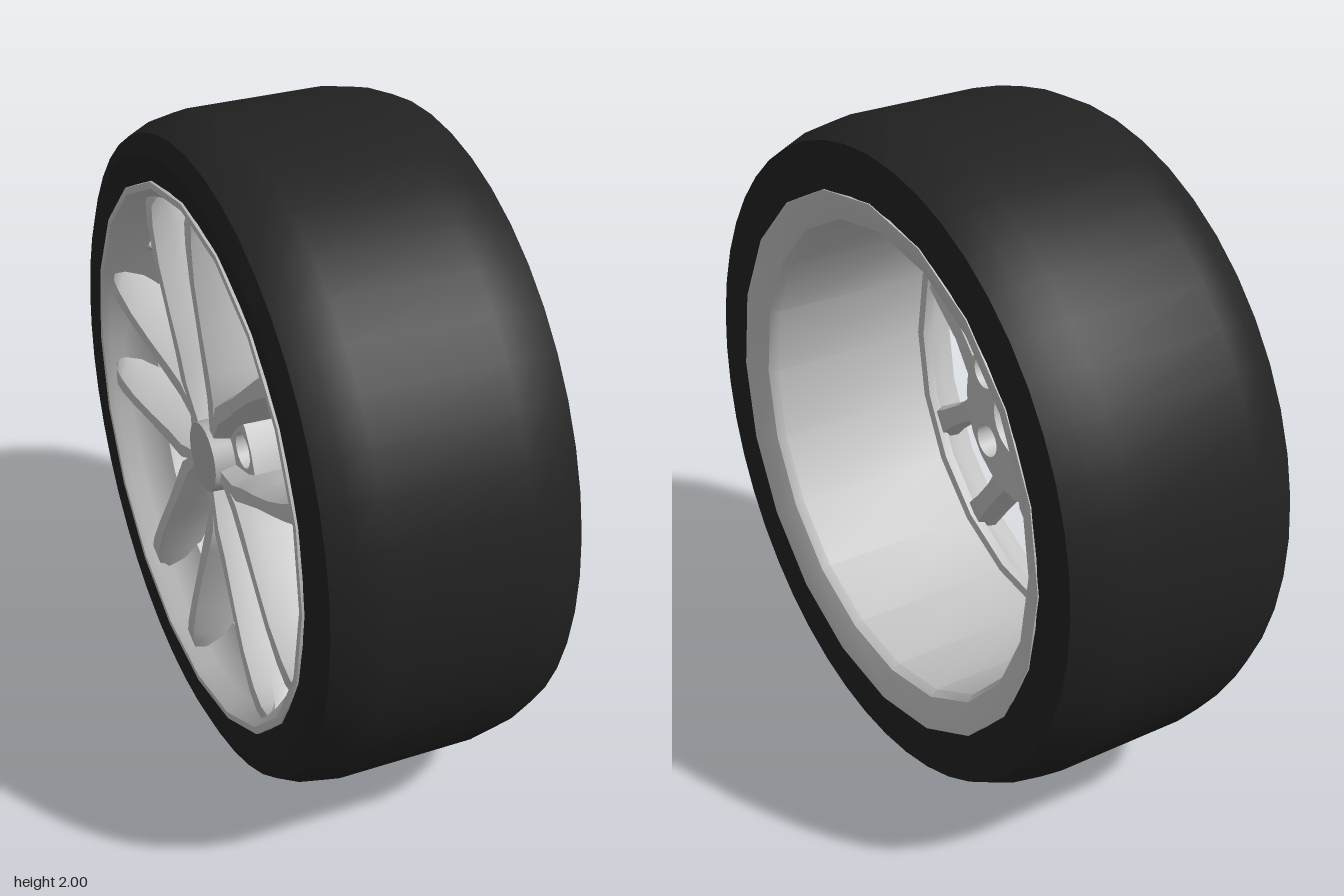
import * as THREE from 'three';
import { toCreasedNormals } from 'three/addons/utils/BufferGeometryUtils.js';

const rubber = new THREE.MeshStandardMaterial({ color: 0x222222 });
rubber.name = 'rubber';
const alloy = new THREE.MeshStandardMaterial({ color: 0xc6c6c6, side: THREE.DoubleSide });
alloy.name = 'alloy';
const capGrey = new THREE.MeshStandardMaterial({ color: 0xb2b2b2 });
capGrey.name = 'capGrey';

const rad = THREE.MathUtils.degToRad;
const FIRST = 76; // angle of the first bolt hole, seen from +x

function add(parent, name, geometry, material) {
  const mesh = new THREE.Mesh(geometry, material);
  mesh.name = name;
  parent.add(mesh);
  return mesh;
}

// Revolves [radius, x] points around the wheel axis
function revolve(points, sides, crease) {
  const g = new THREE.LatheGeometry(points.map(([r, x]) => new THREE.Vector2(r, x)), sides);
  g.rotateZ(-Math.PI / 2);
  return toCreasedNormals(g, crease);
}

// Lofts one spoke along +y, bent to one side: [radial, sideways, half width, front x, back x]
function spokeGeometry(side) {
  const stations = [
    [0.08, 0.06, 0.03, -0.32, -0.20],
    [0.20, 0.112, 0.045, -0.33, -0.16],
    [0.29, 0.12, 0.045, -0.335, -0.15],
    [0.42, 0.135, 0.036, -0.345, -0.18],
    [0.56, 0.152, 0.038, -0.355, -0.20],
    [0.67, 0.164, 0.048, -0.357, -0.22],
    [0.73, 0.168, 0.054, -0.353, -0.26],
    [0.77, 0.17, 0.056, -0.34, -0.31],
  ];
  const pos = [], idx = [], n = 8;
  for (const [u, v, w, f, b] of stations) {
    const d = Math.min(0.05, (b - f) * 0.4);
    const ring = [[-0.8, b], [-1, b - d * 0.5], [-0.95, f + d], [-0.5, f],
      [0.5, f], [0.95, f + d], [1, b - d * 0.5], [0.8, b]];
    for (const [k, x] of ring) pos.push(x, u, side * v + k * w);
  }
  for (let i = 0; i < stations.length - 1; i++) {
    for (let j = 0; j < n; j++) {
      const a = i * n + j, b = i * n + (j + 1) % n;
      idx.push(a, b, b + n, a, b + n, a + n);
    }
  }
  const last = (stations.length - 1) * n;
  for (let j = 1; j < n - 1; j++) idx.push(last, last + j, last + j + 1);
  const g = new THREE.BufferGeometry();
  g.setAttribute('position', new THREE.Float32BufferAttribute(pos, 3));
  g.setIndex(idx);
  return toCreasedNormals(g, 0.8);
}

export function createModel() {
  const wheel = new THREE.Group();
  wheel.name = 'wheel';
  wheel.position.y = 1;

  // Tyre with rounded shoulders
  add(wheel, 'tyre', revolve([
    [0.79, -0.34], [0.815, -0.368], [0.90, -0.38], [0.955, -0.355], [0.985, -0.29], [1, -0.21],
    [1, 0.21], [0.985, 0.30], [0.955, 0.375], [0.81, 0.375], [0.78, 0.34],
  ], 48, 0.45), rubber);

  // Rim: rear lip, barrel, inner step and flared outer lip
  add(wheel, 'rim', revolve([
    [0.82, 0.36], [0.815, 0.378], [0.795, 0.375], [0.725, 0.345], [0.71, 0.32], [0.705, -0.20],
    [0.68, -0.205], [0.68, -0.235], [0.73, -0.265], [0.765, -0.315], [0.785, -0.355],
    [0.80, -0.375], [0.82, -0.375], [0.825, -0.36],
  ], 20, 0.6), alloy);

  // Hub disc with centre bore and five bolt holes
  const disc = new THREE.Shape().absarc(0, 0, 0.265, 0, Math.PI * 2);
  const hole = (x, y, r) => disc.holes.push(new THREE.Path().absarc(x, y, r, 0, Math.PI * 2, true));
  hole(0, 0, 0.113);
  for (let i = 0; i < 5; i++) {
    const a = rad(FIRST + i * 72);
    hole(0.197 * Math.cos(a), 0.197 * Math.sin(a), 0.053);
  }
  const hub = new THREE.ExtrudeGeometry(disc, { depth: 0.17, bevelEnabled: false, curveSegments: 12 });
  hub.rotateY(Math.PI / 2).translate(-0.275, 0, 0);
  add(wheel, 'hub', toCreasedNormals(hub, 0.7), alloy);

  // Centre cap
  const cap = new THREE.CylinderGeometry(0.115, 0.105, 0.20, 24);
  cap.rotateZ(-Math.PI / 2).translate(-0.236, 0, 0);
  add(wheel, 'centreCap', cap, capGrey);

  // Five pairs of spokes, one pair around each bolt hole
  const spokes = [-1, 1].map(spokeGeometry);
  for (let i = 0; i < 5; i++) {
    const pair = new THREE.Group();
    pair.name = 'spokePair';
    pair.rotation.x = rad(FIRST + i * 72 - 90);
    for (const g of spokes) add(pair, 'spoke', g, alloy);
    wheel.add(pair);
  }

  // Valve stem between two spoke pairs
  const valve = add(wheel, 'valve', new THREE.CylinderGeometry(0.012, 0.012, 0.09, 10), capGrey);
  const va = rad(FIRST - 36);
  valve.position.set(-0.26, 0.66 * Math.sin(va), -0.66 * Math.cos(va));
  valve.rotation.set(va - Math.PI / 2, 0, rad(50));

  const model = new THREE.Group();
  model.name = 'model';
  model.add(wheel);
  return model;
}
